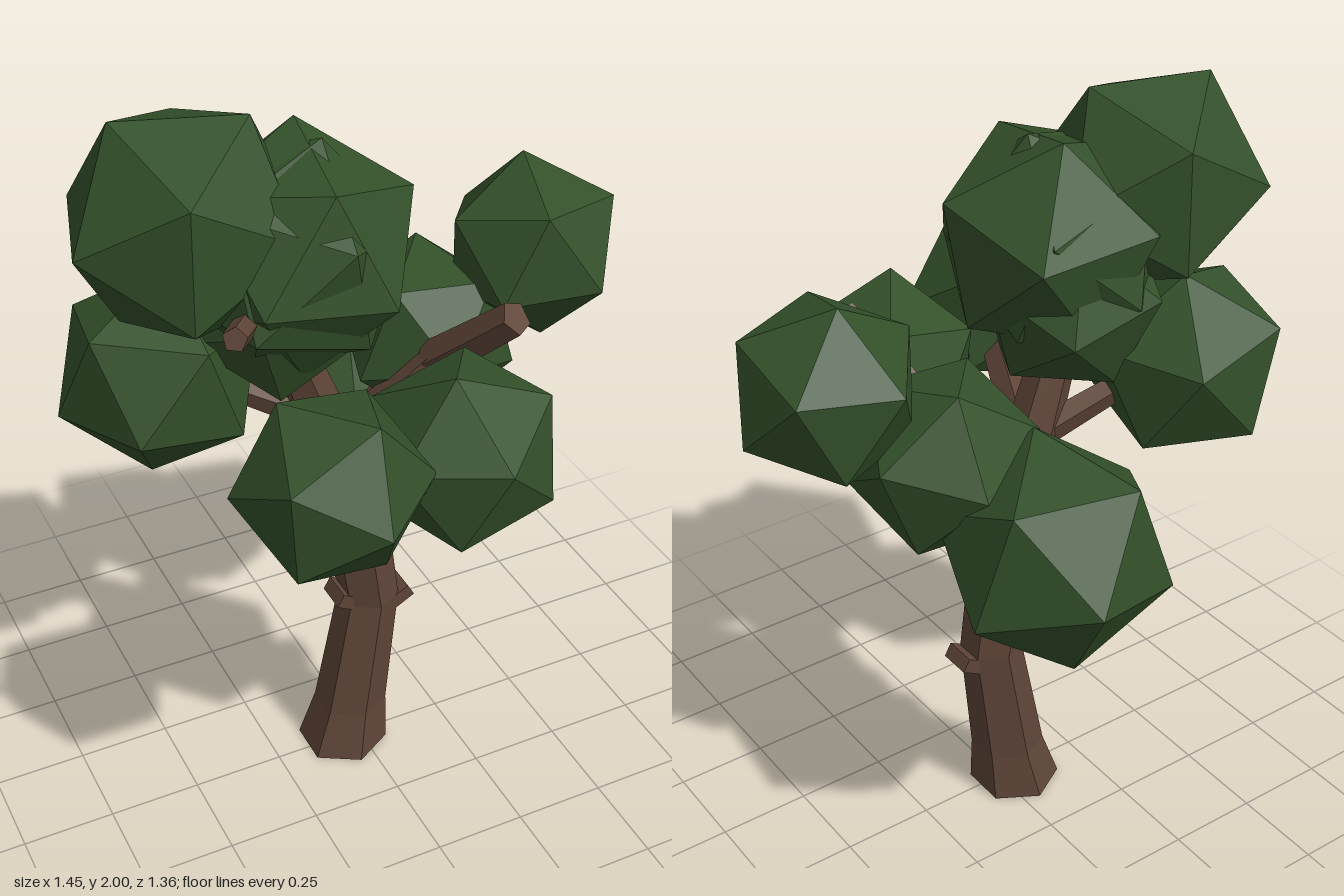
import * as THREE from 'three';

const V = (a) => new THREE.Vector3(...a);
const bark = new THREE.MeshStandardMaterial({ color: 0x5f4538, flatShading: true });
const leaf = new THREE.MeshStandardMaterial({ color: 0x33502a, flatShading: true });

// Orthonormal frame whose y axis follows u and whose z axis leans towards w
function frame(u, w) {
  const y = u.clone().normalize();
  const z = w.clone().addScaledVector(y, -w.dot(y)).normalize();
  return new THREE.Matrix4().makeBasis(new THREE.Vector3().crossVectors(y, z), y, z);
}

// Icosahedron turned so that one corner points along a and a neighbour lies towards b
function clump(r, a, b) {
  const g = new THREE.IcosahedronGeometry(r, 0);
  const t = (1 + Math.sqrt(5)) / 2;
  g.applyMatrix4(frame(V([0, 1, t]), V([0, -1, t])).transpose());
  return g.applyMatrix4(frame(V(a), V(b)));
}

// Six-sided limb through horizontal rings [x, y, z, radius], closed at both ends
function limb(rings) {
  const n = 6, pos = [], idx = [];
  for (const [x, y, z, r] of rings)
    for (let i = 0; i < n; i++) {
      const a = (i / n) * Math.PI * 2;
      pos.push(x + r * Math.sin(a), y, z + r * Math.cos(a));
    }
  const top = (rings.length - 1) * n;
  for (let k = 0; k < top; k += n)
    for (let i = 0; i < n; i++) {
      const a = k + i, b = k + ((i + 1) % n);
      idx.push(a, b, b + n, a, b + n, a + n);
    }
  for (let i = 1; i < n - 1; i++) idx.push(0, i + 1, i, top, top + i, top + i + 1);
  const g = new THREE.BufferGeometry();
  g.setAttribute('position', new THREE.Float32BufferAttribute(pos, 3));
  g.setIndex(idx);
  const flat = g.toNonIndexed();
  flat.computeVertexNormals();
  return flat;
}

// Straight tapered branch between two points
function branch(from, to, r0, r1) {
  const a = V(from), b = V(to), d = b.clone().sub(a);
  const g = new THREE.CylinderGeometry(r1, r0, d.length(), 5);
  g.applyQuaternion(new THREE.Quaternion().setFromUnitVectors(V([0, 1, 0]), d.normalize()));
  const m = a.add(b).multiplyScalar(0.5);
  return g.translate(m.x, m.y, m.z);
}

export function createModel() {
  const tree = new THREE.Group();
  tree.name = 'tree';
  const add = (name, geometry, material) => {
    const mesh = new THREE.Mesh(geometry, material);
    mesh.name = name;
    tree.add(mesh);
    return mesh;
  };

  // Bent trunk, leaning left above the fork
  add('trunk', limb([
    [-0.045, 0, -0.012, 0.125], [-0.02, 0.14, -0.012, 0.1], [0.035, 0.5, -0.012, 0.083],
    [-0.02, 0.88, -0.012, 0.09], [-0.09, 1.1, -0.01, 0.075], [-0.18, 1.35, 0, 0.06], [-0.28, 1.65, 0, 0.04],
  ]), bark);

  // Branches reaching into the foliage
  const branches = [
    [[0, 0.85, -0.01], [0.05, 1.12, -0.02], 0.08, 0.06],
    [[0.03, 1.05, -0.02], [0.2, 1.28, 0.08], 0.06, 0.05],
    [[0.18, 1.25, 0.06], [0.285, 1.46, 0.27], 0.055, 0.045],
    [[0.05, 1.08, -0.02], [0.46, 1.45, -0.03], 0.055, 0.03],
    [[0, 0.88, 0.02], [0.07, 1.18, 0.34], 0.045, 0.03],
    [[-0.08, 1.12, 0], [-0.25, 1.22, 0.38], 0.055, 0.045],
    [[0, 0.86, -0.03], [0.1, 1.05, -0.38], 0.05, 0.03],
    [[0.02, 0.98, -0.25], [-0.13, 1.03, -0.46], 0.03, 0.015],
    [[-0.1, 1.12, -0.02], [-0.45, 1.3, -0.14], 0.045, 0.03],
    [[-0.25, 1.5, 0], [-0.45, 1.62, 0.31], 0.035, 0.03],
  ];
  for (const b of branches) add('branch', branch(...b), bark);

  // Broken twig stubs halfway up the trunk
  for (const [name, x, y, tilt] of [['stubRight', -0.025, 0.51, -0.5], ['stubLeft', 0.1, 0.475, 0.5]]) {
    const stub = add(name, new THREE.BoxGeometry(0.1, 0.04, 0.09), bark);
    stub.position.set(x, y, -0.01);
    stub.rotation.z = tilt;
  }

  // Foliage: centre, radius, corner direction, neighbouring corner
  const clumps = [
    [[0.505, 1.46, -0.03], 0.24, [0.31, -0.2, 0.93], [-0.73, -0.28, 0.63]],
    [[0.25, 1.23, -0.12], 0.245, [0.1, 0.88, -0.43], [0.95, 0.1, -0.26]],
    [[0.115, 1.055, -0.39], 0.298, [0.25, -0.03, -0.97], [0.1, -0.88, -0.45]],
    [[0.09, 1.21, 0.38], 0.25, [0, 0.27, 0.96], [-0.4, -0.85, 0.5]],
    [[-0.28, 1.26, 0.44], 0.24, [0.15, -0.05, 0.98], [-0.82, 0.51, 0.3]],
    [[-0.475, 1.285, -0.15], 0.268, [-0.53, 0.44, -0.72], [0.56, 0.2, -0.8]],
    [[-0.43, 1.743, -0.03], 0.3, [-0.15, 0.26, -0.04], [0.06, 0.18, -0.24]],
    [[-0.17, 1.64, 0.03], 0.305, [0.124, -0.06, 0.265], [0, 0.235, 0.205]],
    [[-0.2, 1.63, 0.03], 0.295, [-0.2, -0.1, 0.25], [0.02, 0.09, 0.28]],
    [[-0.2, 1.49, -0.02], 0.25, [0.95, 0.3, 0.05], [0.1, -0.95, 0]],
  ];
  for (const [c, r, a, b] of clumps) add('foliage', clump(r, a, b), leaf).position.set(...c);

  return tree;
}
